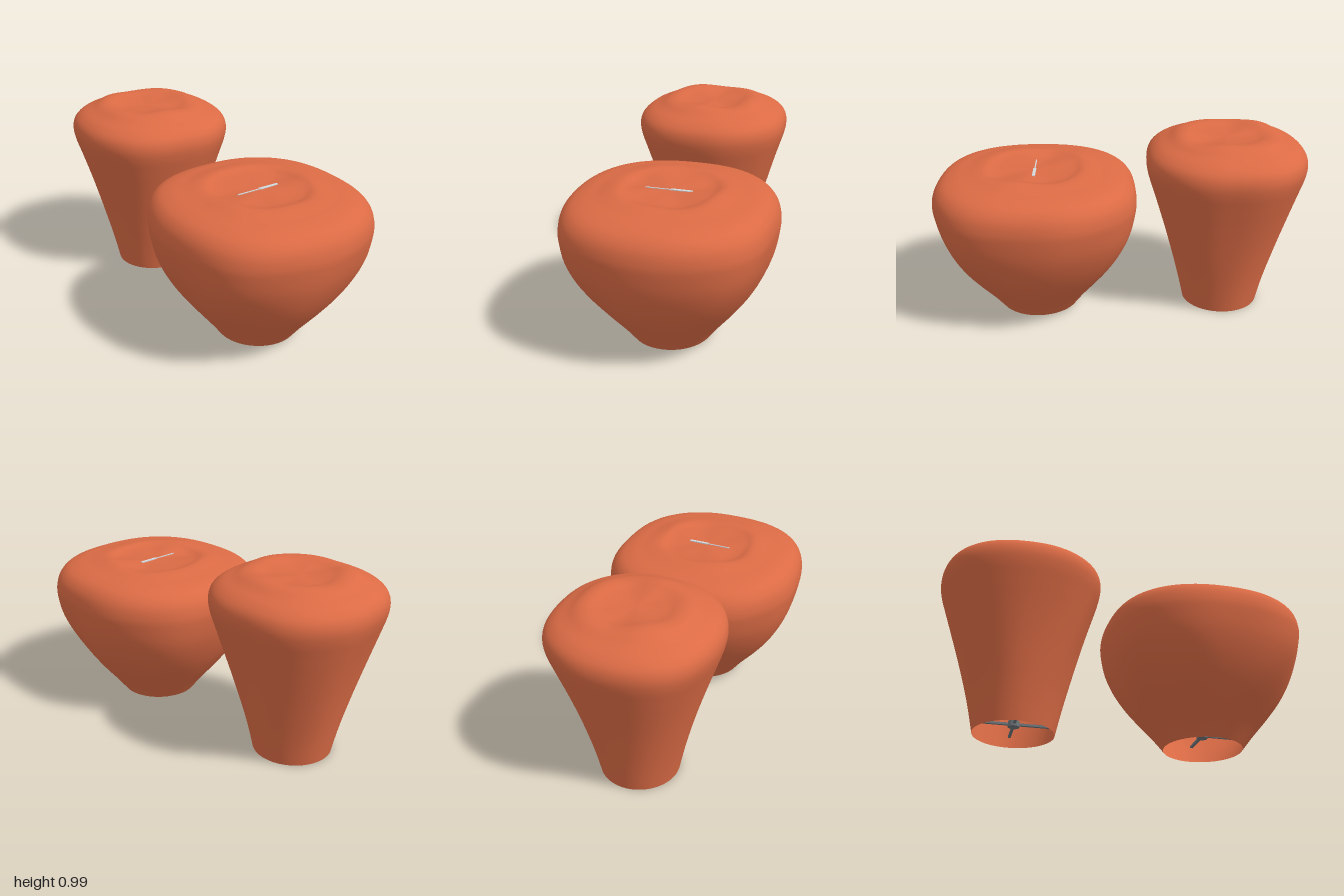
import * as THREE from 'three';
import { mergeVertices } from 'three/addons/utils/BufferGeometryUtils.js';

const fabric = new THREE.MeshStandardMaterial({ color: 0xdb6b45, side: THREE.DoubleSide });
fabric.name = 'terracotta fabric';
const steel = new THREE.MeshStandardMaterial({ color: 0x70787c });
steel.name = 'grey steel';
const pale = new THREE.MeshStandardMaterial({ color: 0xd4d8da });
pale.name = 'pale metal';

function add(parent, name, geometry, material, x = 0, y = 0, z = 0) {
  const mesh = new THREE.Mesh(geometry, material);
  mesh.name = name;
  mesh.position.set(x, y, z);
  parent.add(mesh);
  return mesh;
}

// Soft upholstered shell, open below: a turned profile made slightly square,
// with shallow folds in the side and a dented seat.
function coverGeometry(profile, { scaleZ, square, seatRadius, phase }) {
  const curve = new THREE.SplineCurve(profile.map(([r, y]) => new THREE.Vector2(r, y)));
  const points = curve.getPoints(72);
  points.forEach((p) => { p.x = Math.max(p.x, 0); });
  points[points.length - 1].x = 0;
  let geo = new THREE.LatheGeometry(points, 96);
  geo.deleteAttribute('uv');
  geo.deleteAttribute('normal');
  geo = mergeVertices(geo, 1e-5);

  const pos = geo.attributes.position;
  const top = profile[profile.length - 1][1];
  for (let i = 0; i < pos.count; i++) {
    const x = pos.getX(i), y = pos.getY(i), z = pos.getZ(i);
    const r = Math.hypot(x, z), a = Math.atan2(z, x);
    const h = THREE.MathUtils.clamp(y / top, 0, 1);
    // Blend from a round foot to a squarish seat
    const n = 2 + square * THREE.MathUtils.smoothstep(h, 0.1, 0.7);
    const corner = (Math.abs(Math.cos(a)) ** n + Math.abs(Math.sin(a)) ** n) ** (-1 / n);
    const fold = 1 + 0.012 * Math.sin(Math.PI * h) * Math.sin(7 * a + phase + 4 * h);
    // Uneven padding of the seat
    const seat = h > 0.85 ? Math.exp(-(((r - seatRadius) / 0.1) ** 2)) : 0;
    const dent = seat * 0.006 * (Math.sin(3 * a + phase) + 0.6 * Math.sin(5 * a));
    pos.setXYZ(i, x * corner * fold, y + dent, z * corner * fold * scaleZ);
  }
  geo.computeVertexNormals();
  return geo;
}

// Cross-shaped foot frame with hub and column, hidden inside the cover
function addFrame(stool, y, columnTop) {
  const frame = new THREE.Group();
  frame.name = 'footFrame';
  stool.add(frame);
  add(frame, 'hub', new THREE.CylinderGeometry(0.03, 0.03, 0.03, 24), steel, 0, y, 0);
  add(frame, 'column', new THREE.CylinderGeometry(0.02, 0.02, columnTop - y, 20), pale, 0, (columnTop + y) / 2, 0);
  for (let i = 0; i < 4; i++) {
    const arm = new THREE.Group();
    arm.name = 'footArm';
    arm.rotation.y = i * Math.PI / 2;
    frame.add(arm);
    add(arm, 'armBar', new THREE.BoxGeometry(0.17, 0.012, 0.014), steel, 0.105, y, 0);
  }
}

export function createModel() {
  const model = new THREE.Group();
  model.name = 'stoolPair';

  // Wide, low stool in front
  const wide = new THREE.Group();
  wide.name = 'wideStool';
  wide.position.set(0, 0, 0.455);
  model.add(wide);
  add(wide, 'wideCover', coverGeometry([
    [0.21, 0.02], [0.27, 0.1], [0.35, 0.2], [0.42, 0.3], [0.473, 0.4], [0.51, 0.5],
    [0.53, 0.6], [0.533, 0.66], [0.518, 0.72], [0.48, 0.765], [0.42, 0.79], [0.35, 0.803],
    [0.29, 0.816], [0.25, 0.818], [0.2, 0.806], [0.1, 0.802], [0, 0.802],
  ], { scaleZ: 1.02, square: 0.4, seatRadius: 0.2, phase: 0.6 }), fabric);
  addFrame(wide, 0.1, 0.78);
  // Slivers of the inner plate showing at the seat
  add(wide, 'seatPlate', new THREE.BoxGeometry(0.11, 0.008, 0.016), pale, 0.055, 0.803, 0);
  add(wide, 'seatPlateEdge', new THREE.BoxGeometry(0.13, 0.008, 0.006), pale, -0.065, 0.801, 0);

  // Tall, narrow stool behind
  const tall = new THREE.Group();
  tall.name = 'tallStool';
  tall.position.set(-0.042, 0, -0.57);
  model.add(tall);
  add(tall, 'tallCover', coverGeometry([
    [0.208, 0.005], [0.228, 0.1], [0.251, 0.2], [0.276, 0.3], [0.302, 0.4], [0.33, 0.5],
    [0.36, 0.6], [0.392, 0.7], [0.417, 0.78], [0.425, 0.84], [0.411, 0.89], [0.37, 0.928],
    [0.31, 0.955], [0.26, 0.979], [0.21, 0.984], [0.15, 0.972], [0.07, 0.966], [0, 0.966],
  ], { scaleZ: 1.01, square: 0.3, seatRadius: 0.2, phase: 2.1 }), fabric);
  addFrame(tall, 0.06, 0.94);

  return model;
}
